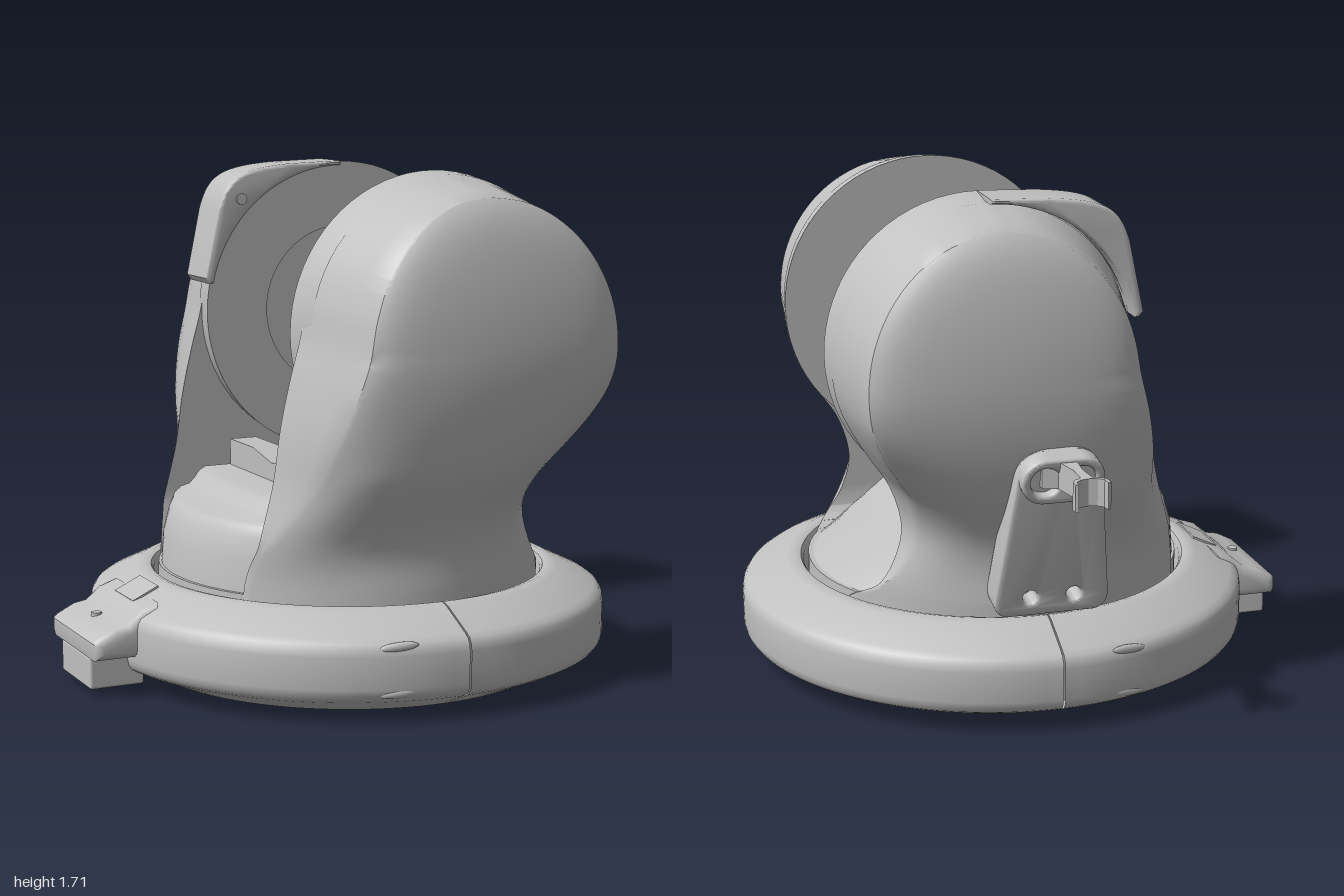
import * as THREE from 'three';
import { toCreasedNormals } from 'three/addons/utils/BufferGeometryUtils.js';
import { RoundedBoxGeometry } from 'three/addons/geometries/RoundedBoxGeometry.js';

const CX = 0.055, CZ = 0.1; // axis of the round base
const HX = 0.2, HY = 1.19, HR = 0.52; // pivot heads of the arms
const grey = new THREE.MeshStandardMaterial({ color: 0xc0c0c0, side: THREE.DoubleSide });
grey.name = 'grey';

const V = (x, y) => new THREE.Vector2(x, y);
const pts = (list) => list.map(([x, y]) => V(x, y));
const { smoothstep: smooth, lerp, clamp, degToRad } = THREE.MathUtils;

function add(parent, name, geo, x = 0, y = 0, z = 0) {
  const m = new THREE.Mesh(geo, grey);
  m.name = name;
  m.position.set(x, y, z);
  parent.add(m);
  return m;
}

const lathe = (list, segs = 72, start = 0, len = Math.PI * 2) =>
  toCreasedNormals(new THREE.LatheGeometry(pts(list), segs, start, len), 0.7);

function extrude(shape, depth, bevel = 0, steps = 1) {
  return new THREE.ExtrudeGeometry(shape, {
    depth, steps, bevelEnabled: bevel > 0, bevelSize: bevel, bevelThickness: bevel,
    bevelOffset: -bevel, bevelSegments: 3, curveSegments: 20,
  });
}

// Shape with a circular hole at each [x, y, r]
function holed(shape, holes) {
  for (const [x, y, r] of holes) shape.holes.push(new THREE.Path().absarc(x, y, r, 0, Math.PI * 2, true));
  return shape;
}

// One yoke arm: rows follow the outline upward, columns wrap from the inner edge over the outer face
function armGeometry(side, bulge) {
  const arc = (dir) => [15, 30, 45, 60, 75, 90].map((d) => {
    const a = degToRad(d);
    return [HX + dir * HR * Math.cos(a), HY + HR * Math.sin(a)];
  });
  const left = new THREE.SplineCurve(pts([[-0.5, 0.3], [-0.49, 0.42], [-0.455, 0.58], [-0.425, 0.72],
    [-0.4, 0.9], [-0.365, 1.06], [-0.33, 1.19], ...arc(-1)])).getSpacedPoints(64);
  const right = new THREE.SplineCurve(pts([[0.65, 0.3], [0.635, 0.34], [0.565, 0.4], [0.515, 0.48], [0.49, 0.6],
    [0.53, 0.74], [0.6, 0.85], [0.66, 0.95], [0.705, 1.06], [0.72, 1.19], ...arc(1)])).getSpacedPoints(64);
  const half = [[-1, 0], [-1, 0.35], [-1, 0.7], [-1, 1], [-0.97, 1], [-0.92, 1], [-0.85, 1], [-0.75, 1],
    [-0.6, 1], [-0.4, 1], [-0.2, 1]];
  const cols = [...half, [0, 1], ...half.map(([t, k]) => [-t, k]).reverse()];
  const n = cols.length, pos = [], idx = [];
  left.forEach((L, i) => {
    const R = right[i], mx = (L.x + R.x) / 2, my = (L.y + R.y) / 2;
    for (const [t, k] of cols) {
      const E = t < 0 ? L : R, a = Math.abs(t), inset = t < 0 ? 0.16 : 0.12, K = lerp(0.15, 1, k);
      const y0 = lerp(my, E.y, a), w = smooth(y0, 0.36, 0.8);
      const x = lerp(mx, E.x, a * (1 - inset * K * w));
      const y = 0.34 + (y0 - 0.34) * (1 - 0.05 * K);
      // e runs from 0 at the middle of the face to 1 at its rim
      const e = y < 1.147 ? a : Math.min(1, Math.hypot((x - HX) / (HR * (1 - inset)), (y - 1.147) / 0.494));
      const soft = lerp(0.2 * e ** 4, 0.035 * e * e + 0.03 * e ** 10, smooth(y, 0.5, 1.147));
      const face = bulge - (y < 1.15 ? 0.42 : 0.18) * (y - 1.15) ** 2 - soft;
      const round = Math.sqrt(Math.max(0.665 ** 2 - (x - CX) ** 2, 0));
      const d = lerp(round, face, w);
      pos.push(x, y, CZ + side * lerp(Math.min(0.42, d - 0.004), d, k));
    }
  });
  for (let i = 0; i < left.length - 1; i++) {
    for (let j = 0; j < n; j++) {
      const a = i * n + j, b = i * n + (j + 1) % n, c = b + n, d = a + n;
      if (side > 0) idx.push(a, b, c, a, c, d);
      else idx.push(a, c, b, a, d, c);
    }
  }
  const g = new THREE.BufferGeometry();
  g.setAttribute('position', new THREE.Float32BufferAttribute(pos, 3));
  g.setIndex(idx);
  return toCreasedNormals(g, 0.7);
}

export function createModel() {
  const model = new THREE.Group();
  model.name = 'yoke';

  // Outer ring in two halves with a narrow seam
  const ring = [[0.675, 0.01], [0.7, 0], [0.72, 0.003], [0.86, 0.066], [0.88, 0.078], [0.891, 0.094], [0.895, 0.115],
    [0.895, 0.22], [0.891, 0.243], [0.88, 0.26], [0.86, 0.273], [0.735, 0.332], [0.705, 0.34], [0.685, 0.335],
    [0.675, 0.32], [0.675, 0.01]];
  for (const s of [0, Math.PI]) add(model, 'ringHalf', lathe(ring, 48, s + 0.003, Math.PI - 0.006), CX, 0, CZ + 0.005);

  // Shallow oval tabs beside the seams
  for (const y of [0.1, 0.25]) for (const s of [1, -1]) {
    const tab = add(model, 'ringTab', new THREE.SphereGeometry(1, 16, 8), -0.18, y, CZ + 0.005 + s * 0.852);
    tab.scale.set(0.065, 0.016, 0.012);
    tab.rotation.set(0, -s * 0.27, 0.1);
  }

  // Turntable with a boss underneath
  add(model, 'turntable', lathe([[0, 0.08], [0.3, 0.08], [0.3, 0.15], [0.675, 0.15], [0.675, 0.17], [0.66, 0.17],
    [0.658, 0.345], [0, 0.345]]), CX, 0, CZ + 0.004);

  // Arms and their pivot heads
  for (const s of [1, -1]) {
    add(model, s > 0 ? 'frontArm' : 'backArm', armGeometry(s, s > 0 ? 0.85 : 0.81));
    const drum = lathe([[0, 0.05], [0.29, 0.05], [0.29, 0], [HR, 0], [0.51, 0.08], [0.5, 0.12]]);
    drum.rotateX(s * Math.PI / 2);
    add(model, 'pivotHead', drum, HX, HY, CZ + s * 0.348);
  }

  // Bridge between the arms, its ends bent to the round base
  const profile = new THREE.Shape(pts([[-0.62, 0.3], [-0.62, 0.45], [-0.6, 0.53], [-0.58, 0.56], [-0.55, 0.572],
    [-0.48, 0.58], [-0.44, 0.6], [-0.4, 0.625], [-0.35, 0.637], [0.24, 0.64], [0.265, 0.635], [0.285, 0.62],
    [0.335, 0.53], [0.36, 0.5], [0.44, 0.46], [0.54, 0.41], [0.65, 0.34], [0.65, 0.3]]));
  const bridge = extrude(profile, 0.8, 0, 24);
  bridge.translate(0, 0, -0.27);
  const p = bridge.attributes.position;
  for (let i = 0; i < p.count; i++) {
    const x = p.getX(i);
    const r = 0.65 - 0.1 * Math.max(p.getY(i) - 0.34, 0);
    const reach = Math.sqrt(r * r - (p.getZ(i) - CZ) ** 2);
    if (x < -0.3) p.setX(i, lerp(-0.3, CX - reach, (-0.3 - x) / 0.32));
    if (x > 0.35) p.setX(i, lerp(0.35, CX + reach, clamp((x - 0.35) / 0.3, 0, 1)));
  }
  add(model, 'bridge', toCreasedNormals(bridge, 0.7));

  // Inner cross bar with a notched top, and its pegs
  const bar = extrude(new THREE.Shape(pts([[-0.45, 0.6], [-0.45, 0.73], [-0.26, 0.73], [-0.1, 0.7], [0.06, 0.73],
    [0.26, 0.73], [0.26, 0.6]])), 0.1);
  bar.rotateY(Math.PI / 2);
  add(model, 'crossBar', bar, -0.23);
  for (const z of [-0.2, 0.4]) {
    const peg = add(model, 'peg', new THREE.CylinderGeometry(0.015, 0.015, 0.1, 16), -0.1, 0.665, z);
    peg.rotation.z = Math.PI / 2;
  }

  // Hood on the upper side of the back arm
  const hood = new THREE.Shape();
  hood.moveTo(HX, 1.712);
  hood.lineTo(0, 1.705);
  hood.bezierCurveTo(-0.2, 1.69, -0.24, 1.66, -0.275, 1.55);
  hood.lineTo(-0.325, 1.31);
  hood.lineTo(-0.31, 1.29);
  hood.absarc(HX, HY, HR - 0.015, Math.PI - 0.2, Math.PI / 2, true);
  add(model, 'hood', toCreasedNormals(extrude(hood, 0.165, 0.012), 0.7), 0, 0, -0.418);
  add(model, 'hoodScrew', new THREE.CylinderGeometry(0.02, 0.02, 0.01, 20), -0.19, 1.585, -0.239).rotation.x = Math.PI / 2;

  // Tilted latch plate on the back arm
  const latch = new THREE.Group();
  latch.name = 'latch';
  latch.position.set(0.05, 0.37, -0.565);
  latch.rotation.x = -0.2;
  model.add(latch);
  const plate = new THREE.Shape();
  plate.moveTo(-0.15, -0.01);
  plate.lineTo(0.15, -0.01);
  plate.quadraticCurveTo(0.2, 0, 0.195, 0.06);
  plate.lineTo(0.145, 0.5);
  plate.quadraticCurveTo(0.13, 0.59, 0.03, 0.59);
  plate.lineTo(-0.03, 0.59);
  plate.quadraticCurveTo(-0.13, 0.59, -0.145, 0.5);
  plate.lineTo(-0.195, 0.06);
  plate.quadraticCurveTo(-0.2, 0, -0.15, -0.01);
  holed(plate, [[-0.075, 0.06, 0.025], [0.075, 0.06, 0.025]]);
  add(latch, 'latchPlate', toCreasedNormals(extrude(plate, 0.09, 0.012), 0.7), 0, 0, -0.045);
  const rim = new THREE.Shape();
  rim.absarc(0.06, 0.51, 0.08, -Math.PI / 2, Math.PI / 2);
  rim.absarc(-0.06, 0.51, 0.08, Math.PI / 2, Math.PI * 1.5);
  holed(rim, [[0.06, 0.51, 0.05], [-0.06, 0.51, 0.05]]);
  add(latch, 'latchRim', toCreasedNormals(extrude(rim, 0.055, 0.012), 0.7), 0, 0, -0.08);

  // Forked hook
  const fork = new THREE.Shape(pts([[-0.06, 0.7], [0.12, 0.7], [0.12, 0.74], [0.07, 0.755], [0.05, 0.85],
    [0.052, 0.93], [0.075, 0.945], [0.088, 0.965], [0.088, 0.995], [0.078, 0.998], [0.075, 0.968], [0.058, 0.952],
    [0.03, 0.945], [0.002, 0.952], [-0.015, 0.968], [-0.018, 0.998], [-0.028, 0.995], [-0.028, 0.965], [-0.015, 0.945],
    [0.014, 0.93], [0.02, 0.85], [0.01, 0.755], [-0.06, 0.74]]));
  const hook = extrude(fork, 0.09);
  hook.rotateX(-Math.PI / 2);
  add(model, 'hook', hook, 0, 0.83, 0);
  add(model, 'hookPin', new THREE.CylinderGeometry(0.02, 0.02, 0.036, 16), 0.034, 0.875, -0.89).rotation.z = Math.PI / 2;

  // Clamp on the side of the ring
  const clampSide = new THREE.Shape(pts([[-0.73, 0.13], [-0.955, 0.13], [-0.96, 0.15], [-0.96, 0.19], [-0.945, 0.205],
    [-0.885, 0.235], [-0.84, 0.243], [-0.79, 0.285], [-0.73, 0.305]]));
  add(model, 'clampTop', toCreasedNormals(extrude(clampSide, 0.38, 0.03), 0.7), 0, 0, -0.09);
  add(model, 'clampBase', new RoundedBoxGeometry(0.19, 0.11, 0.28, 3, 0.01), -0.863, 0.08, 0.12);
  add(model, 'clampBolt', new THREE.CylinderGeometry(0.018, 0.018, 0.02, 16), -0.875, 0.235, CZ);
  add(model, 'clampPad', new THREE.BoxGeometry(0.1, 0.008, 0.17), -0.73, 0.309, CZ).rotation.z = 0.44;

  return model;
}
